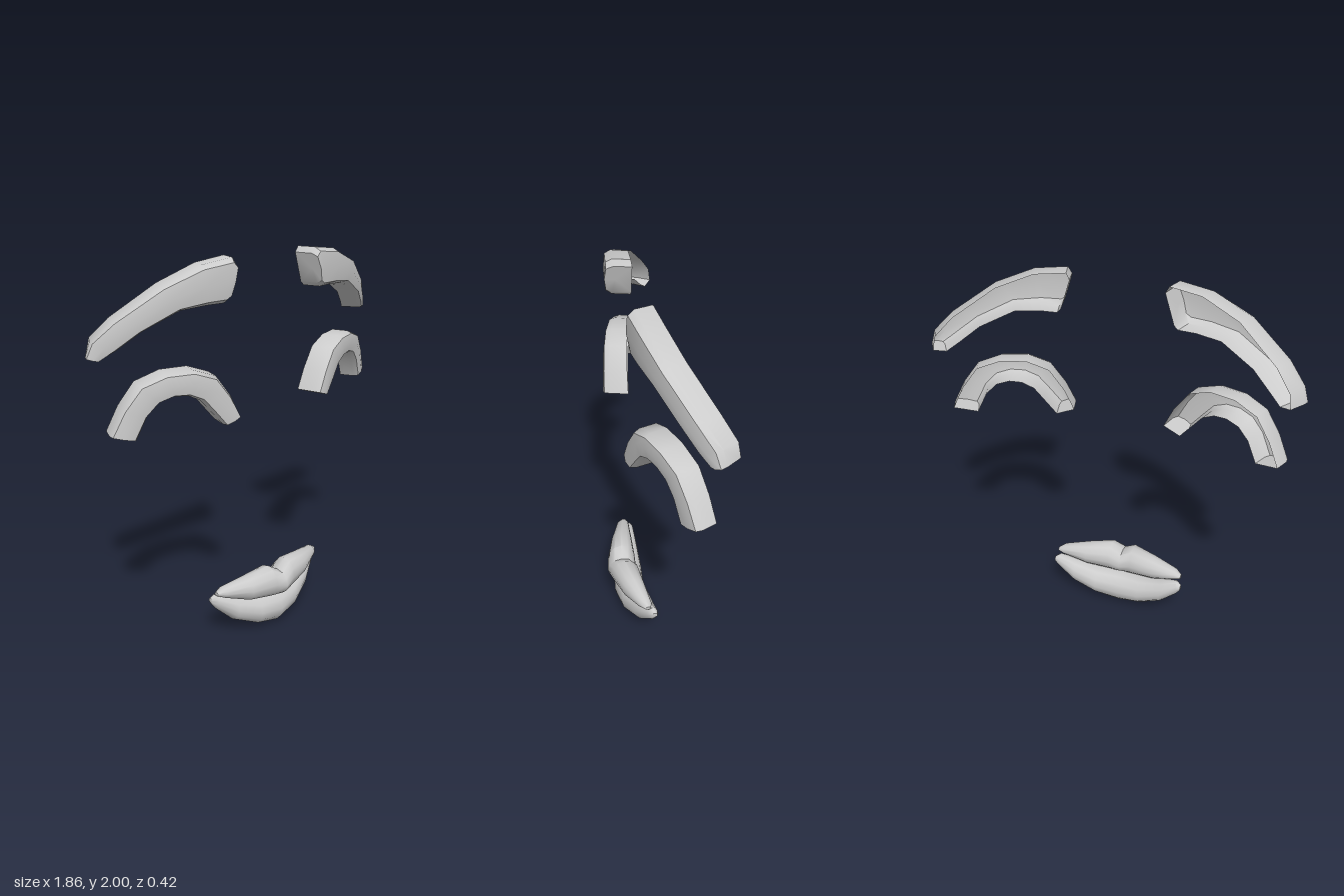
import * as THREE from 'three';
import { toCreasedNormals } from 'three/addons/utils/BufferGeometryUtils.js';

const material = new THREE.MeshStandardMaterial({ color: 0xcccccc, side: THREE.DoubleSide });

// Skin a row of equal-sized rings and cap both ends; open rings leave a slot at the back
function loft(name, rings, closed, crease) {
  const n = rings[0].length, pos = [], idx = [];
  rings.forEach(r => r.forEach(p => pos.push(p.x, p.y, p.z)));
  for (let i = 0; i < rings.length - 1; i++) {
    for (let j = 0; j < (closed ? n : n - 1); j++) {
      const a = i * n + j, b = i * n + (j + 1) % n;
      idx.push(a, b, a + n, b, b + n, a + n);
    }
  }
  for (const i of [0, rings.length - 1]) {
    const c = new THREE.Vector3();
    rings[i].forEach(p => c.addScaledVector(p, 1 / n));
    const centre = pos.length / 3;
    pos.push(c.x, c.y, c.z);
    for (let j = 0; j < n; j++) {
      const a = i * n + j, b = i * n + (j + 1) % n;
      if (i === 0) idx.push(centre, b, a);
      else idx.push(centre, a, b);
    }
  }
  const geometry = new THREE.BufferGeometry();
  geometry.setAttribute('position', new THREE.Float32BufferAttribute(pos, 3));
  geometry.setIndex(idx);
  const mesh = new THREE.Mesh(toCreasedNormals(geometry, crease), material);
  mesh.name = name;
  return mesh;
}

// Band profile: [across from upper to lower edge, depth from front to back]
const BAND = [[0, 1], [0, 0.3], [0.1, 0.06], [0.5, 0], [0.9, 0.06], [1, 0.3], [1, 1]];

// A curved shell strip; each section is [upperX, upperY, lowerX, lowerY]
function band(name, side, sections, frontZ, depth) {
  const rings = sections.map(([tx, ty, bx, by], i) => {
    const [dx, dz] = depth(i / (sections.length - 1));
    return BAND.map(([u, w]) => {
      const x = tx + (bx - tx) * u, y = ty + (by - ty) * u;
      return new THREE.Vector3(side * (x + dx * w), y, frontZ(x) + dz * w);
    });
  });
  if (side < 0) rings.reverse();
  return loft(name, rings, false, 0.7);
}

const BROW = [
  [0.262, 1.97, 0.31, 1.82],
  [0.285, 2.0, 0.335, 1.8],
  [0.45, 1.98, 0.43, 1.8],
  [0.64, 1.905, 0.56, 1.79],
  [0.84, 1.765, 0.73, 1.71],
  [0.92, 1.68, 0.83, 1.635],
  [0.94, 1.61, 0.89, 1.595],
];

const EYE = [
  [0.275, 1.265, 0.365, 1.232],
  [0.325, 1.37, 0.43, 1.31],
  [0.4, 1.475, 0.48, 1.37],
  [0.51, 1.517, 0.54, 1.4],
  [0.64, 1.517, 0.605, 1.405],
  [0.755, 1.475, 0.67, 1.385],
  [0.83, 1.37, 0.725, 1.33],
  [0.885, 1.255, 0.775, 1.225],
];

// A mirrored lip; each half section is [x, bottomY, topY, backZ, frontZ]
function lip(name, half) {
  const mirrored = half.slice(1).reverse().map(([x, ...rest]) => [-x, ...rest]);
  const rings = [...mirrored, ...half].map(([x, y0, y1, z0, z1]) =>
    Array.from({ length: 12 }, (_, j) => {
      const a = (j / 12) * Math.PI * 2;
      return new THREE.Vector3(
        x,
        (y0 + y1) / 2 + Math.cos(a) * (y1 - y0) / 2,
        (z0 + z1) / 2 + Math.sin(a) * (z1 - z0) / 2
      );
    }));
  return loft(name, rings, true, 0.9);
}

export function createModel() {
  const model = new THREE.Group();
  model.name = 'faceFeatures';

  // Eyebrows and eyelid arches, one of each per side
  for (const [label, side] of [['left', 1], ['right', -1]]) {
    model.add(
      band(label + 'Eyebrow', side, BROW, x => 0.146 - 0.309 * x ** 3,
        t => [-0.03 - 0.04 * t, -0.13 + 0.03 * t]),
      band(label + 'EyelidArch', side, EYE, x => 0.188 - 0.29 * x * x,
        t => [-0.035 - 0.01 * t, -0.13 + 0.03 * t])
    );
  }

  // Upper lip with a dip at the middle
  model.add(lip('upperLip', [
    [0, 0.187, 0.325, 0.05, 0.213],
    [0.065, 0.19, 0.367, 0.045, 0.2],
    [0.2, 0.208, 0.345, 0.035, 0.16],
    [0.335, 0.262, 0.322, 0.03, 0.1],
    [0.37, 0.28, 0.3, 0.04, 0.07],
  ]));

  // Fuller lower lip
  model.add(lip('lowerLip', [
    [0, 0, 0.195, 0.005, 0.175],
    [0.13, 0.028, 0.2, -0.007, 0.157],
    [0.26, 0.092, 0.235, -0.008, 0.11],
    [0.355, 0.187, 0.272, -0.002, 0.06],
    [0.38, 0.225, 0.255, 0.005, 0.035],
  ]));

  return model;
}
